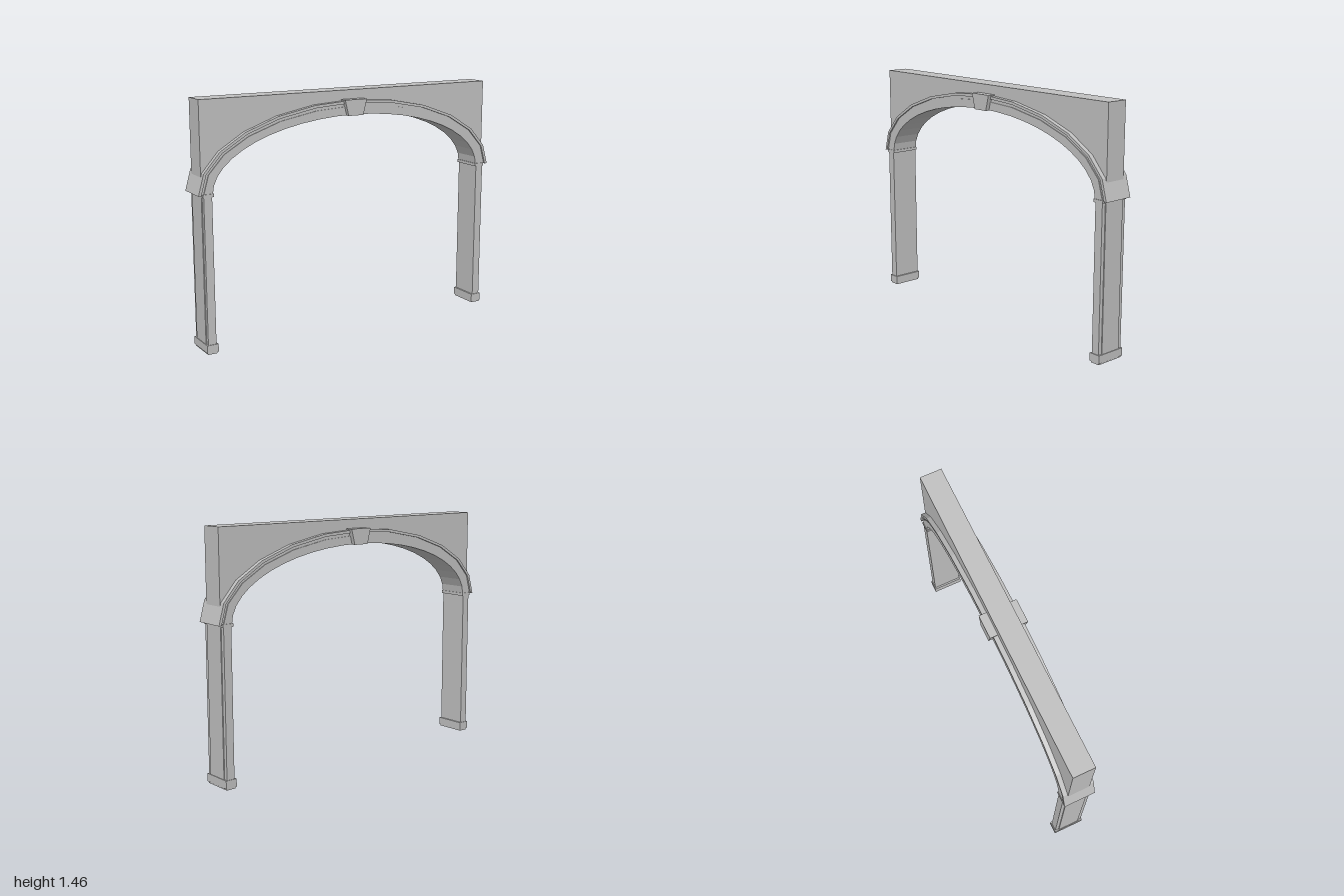
import * as THREE from 'three';

const SPRING = 0.93; // height where the arch begins

// Points along a half ellipse, from the +x foot over the crown to the -x foot
function arc(a, b, n) {
  const pts = [];
  for (let i = 0; i <= n; i++) {
    const t = (i / n) * Math.PI;
    pts.push(new THREE.Vector2(a * Math.cos(t), SPRING + b * Math.sin(t)));
  }
  return pts;
}

export function createModel() {
  const group = new THREE.Group();
  group.name = 'archway';
  const stone = new THREE.MeshStandardMaterial({ color: 0xc0c0c0, flatShading: true });
  stone.name = 'grey stone';

  function add(name, geometry, parent = group) {
    const mesh = new THREE.Mesh(geometry, stone);
    mesh.name = name;
    parent.add(mesh);
    return mesh;
  }
  // Outline pushed through the thickness of the wall
  function slab(name, points, halfDepth) {
    const g = new THREE.ExtrudeGeometry(new THREE.Shape(points), { depth: halfDepth * 2, bevelEnabled: false });
    g.translate(0, 0, -halfDepth);
    return add(name, g);
  }
  function box(name, x0, x1, y0, y1, halfDepth, parent) {
    const g = new THREE.BoxGeometry(x1 - x0, y1 - y0, halfDepth * 2);
    g.translate((x0 + x1) / 2, (y0 + y1) / 2, 0);
    return add(name, g, parent);
  }
  function ring(name, outer, inner, halfDepth) {
    return slab(name, [...outer, ...inner.reverse()], halfDepth);
  }

  // Wall above the arch, with its thin core running down to the ground
  const v = (x, y) => new THREE.Vector2(x, y);
  slab('wall', [
    v(0.94, 0.005), v(0.972, 0.005), v(0.972, 1.46), v(-0.972, 1.46),
    v(-0.972, 0.005), v(-0.94, 0.005), ...arc(0.94, 0.415, 24).reverse(),
  ], 0.067);

  // Arch band, recessed fillet and projecting hood moulding
  ring('archBand', arc(0.967, 0.437, 12), arc(0.912, 0.385, 24), 0.09);
  ring('archFillet', arc(0.985, 0.457, 12), arc(0.963, 0.433, 12), 0.085);
  ring('hoodMoulding', arc(1.0, 0.472, 12), arc(0.983, 0.455, 12), 0.095);

  // Tapered keystone
  slab('keystone', [v(-0.05, 1.312), v(0.05, 1.312), v(0.074, 1.406), v(-0.074, 1.406)], 0.115);

  // Piers, with base and capital
  for (const [side, s] of [['left', 1], ['right', -1]]) {
    const pier = new THREE.Group();
    pier.name = side + 'Pier';
    if (s < 0) pier.rotation.y = Math.PI;
    box('shaft', 0.917, 0.967, 0.01, 0.925, 0.09, pier);
    box('base', 0.906, 0.976, 0.01, 0.057, 0.095, pier);
    box('baseFoot', 0.912, 0.97, 0, 0.01, 0.09, pier);
    box('capital', 0.906, 0.973, 0.918, 0.936, 0.094, pier);
    group.add(pier);
  }
  return group;
}
